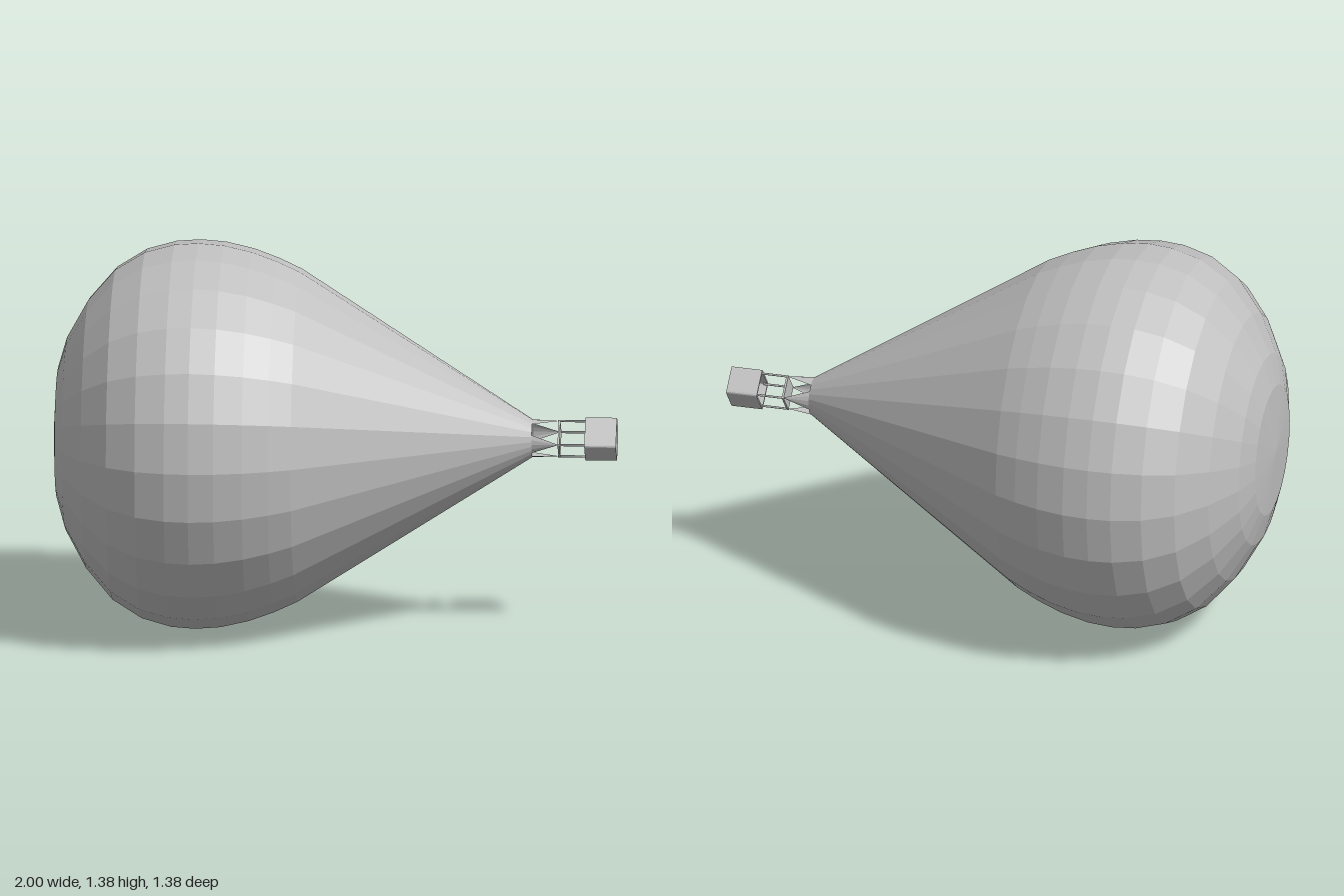
import * as THREE from 'three';

const fabric = new THREE.MeshStandardMaterial({ color: 0xc0c0c0, side: THREE.DoubleSide });
fabric.name = 'plain grey';

// Splits every face so that it shades flat
function faceted(geometry) {
  const flat = geometry.index ? geometry.toNonIndexed() : geometry;
  flat.computeVertexNormals();
  return flat;
}

function add(parent, name, geometry) {
  const mesh = new THREE.Mesh(geometry, fabric);
  mesh.name = name;
  parent.add(mesh);
  return mesh;
}

function roundedRect(Type, w, h, r) {
  const s = new Type();
  const x = w / 2, y = h / 2;
  s.moveTo(-x + r, -y);
  s.lineTo(x - r, -y);
  s.quadraticCurveTo(x, -y, x, -y + r);
  s.lineTo(x, y - r);
  s.quadraticCurveTo(x, y, x - r, y);
  s.lineTo(-x + r, y);
  s.quadraticCurveTo(-x, y, -x, y - r);
  s.lineTo(-x, -y + r);
  s.quadraticCurveTo(-x, -y, -x + r, -y);
  return s;
}

// Extrudes an outline along +x, starting at x
function extrudeAlongX(shape, x, depth) {
  return new THREE.ExtrudeGeometry(shape, { depth, bevelEnabled: false, curveSegments: 3 })
    .rotateY(Math.PI / 2).translate(x, 0, 0);
}

export function createModel() {
  const model = new THREE.Group();
  model.name = 'balloon';

  // Envelope lying on its side: crown at -x, open mouth at +x
  const profile = [
    [-0.997, 0], [-0.982, 0.235], [-0.95, 0.345], [-0.875, 0.48], [-0.78, 0.59],
    [-0.675, 0.655], [-0.57, 0.684], [-0.485, 0.69], [-0.395, 0.683],
    [-0.295, 0.66], [-0.205, 0.627], [-0.125, 0.59], [0.7, 0.067],
  ].map(([x, r]) => new THREE.Vector2(r, x));
  const envelope = add(model, 'envelope',
    faceted(new THREE.LatheGeometry(profile, 24).rotateZ(-Math.PI / 2)));
  envelope.rotation.x = -0.014;
  envelope.position.y = 0.69;

  // Everything below the mouth is turned about the balloon's axis
  const gondola = new THREE.Group();
  gondola.name = 'gondola';
  gondola.position.y = 0.69;
  gondola.rotation.x = -0.72;
  model.add(gondola);

  // Basket: rounded open box with its floor at +x
  const walls = roundedRect(THREE.Shape, 0.105, 0.123, 0.01);
  walls.holes.push(roundedRect(THREE.Path, 0.09, 0.108, 0.006));
  add(gondola, 'basketWalls', extrudeAlongX(walls, 0.887, 0.1));
  add(gondola, 'basketFloor',
    extrudeAlongX(roundedRect(THREE.Shape, 0.105, 0.123, 0.01), 0.987, 0.012));

  // Burner plate between mouth and basket
  add(gondola, 'burnerPlate', new THREE.BoxGeometry(0.007, 0.102, 0.088).translate(0.795, 0, 0));

  for (const sy of [1, -1]) for (const sz of [1, -1]) {
    const y = sy * 0.0485, z = sz * 0.0415;

    // Upright joining plate and basket
    add(gondola, 'upright', new THREE.CylinderGeometry(0.004, 0.004, 0.11, 6)
      .rotateZ(Math.PI / 2).translate(0.845, y, z));

    // Tapered fabric flap from the mouth to a plate corner
    const middle = Math.atan2(z, y);
    const points = [];
    const rim = (i) => {
      const a = middle + (i * Math.PI) / 12;
      points.push(0.7, 0.067 * Math.cos(a), 0.067 * Math.sin(a));
    };
    for (let i = -2; i < 2; i++) {
      rim(i);
      rim(i + 1);
      points.push(0.795, y, z);
    }
    const flap = new THREE.BufferGeometry();
    flap.setAttribute('position', new THREE.Float32BufferAttribute(points, 3));
    add(gondola, 'mouthFlap', faceted(flap));
  }
  return model;
}
